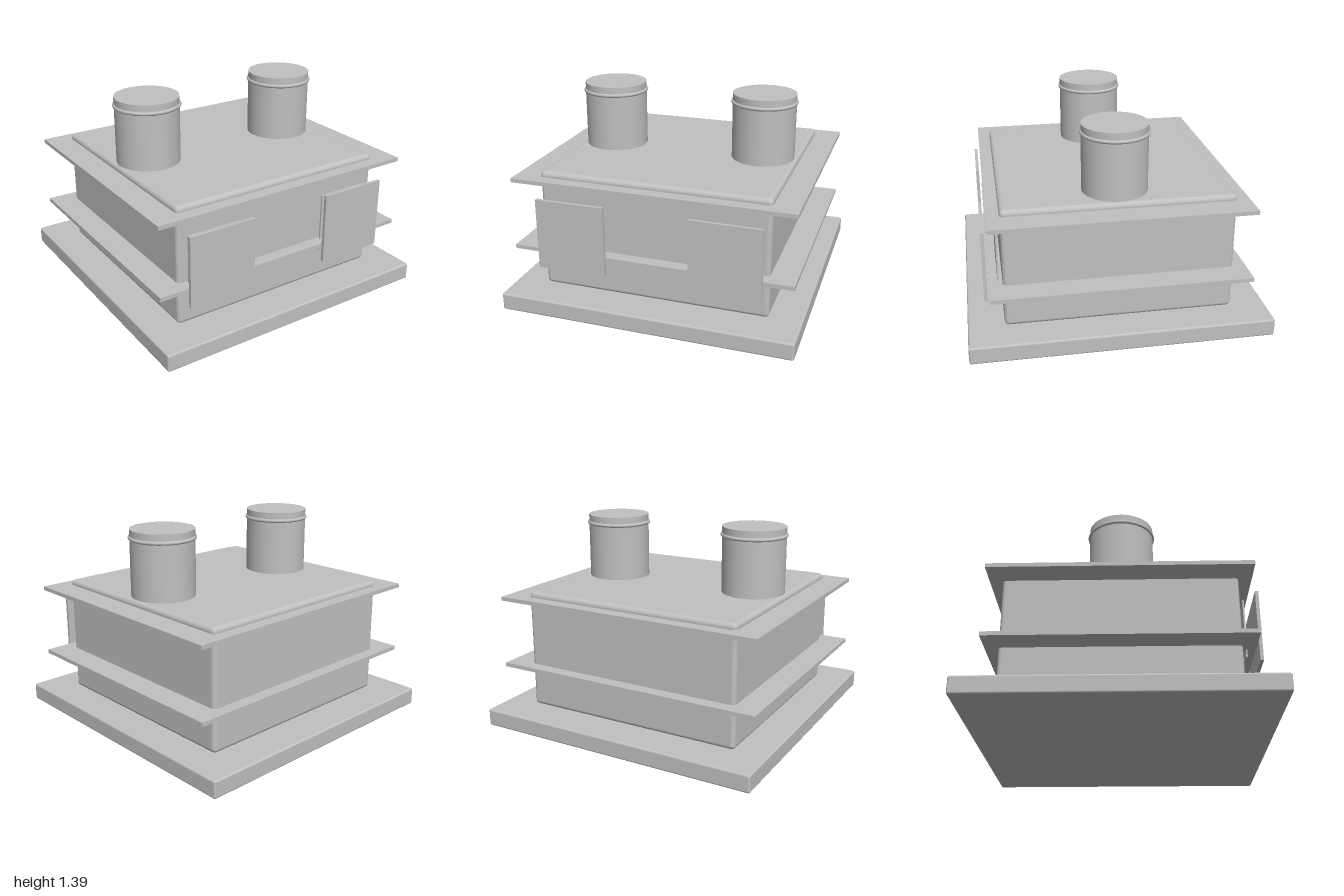
import * as THREE from 'three';
import { RoundedBoxGeometry } from 'three/addons/geometries/RoundedBoxGeometry.js';

export function createModel() {
  const model = new THREE.Group();
  model.name = 'ventedBox';
  const grey = new THREE.MeshStandardMaterial({ color: 0xc0c0c0 });
  grey.name = 'plain grey';

  function add(name, geometry, x, y, z, parent = model) {
    const mesh = new THREE.Mesh(geometry, grey);
    mesh.name = name;
    mesh.position.set(x, y, z);
    parent.add(mesh);
    return mesh;
  }

  // Plinth and main housing, both with softened edges
  add('base', new RoundedBoxGeometry(2, 0.12, 2, 3, 0.014), 0, 0.06, 0);
  add('body', new RoundedBoxGeometry(1.565, 0.82, 1.52, 4, 0.03), 0, 0.53, 0);

  // Thin flanges around the housing
  for (const [name, y] of [['lowerFlange', 0.41], ['upperFlange', 0.888]]) {
    add(name, new THREE.BoxGeometry(1.91, 0.027, 1.69), 0, y, 0);
  }

  for (const [side, pipeX, panelX] of [['right', -0.546, -0.526], ['left', 0.541, 0.521]]) {
    // Front panel with a thinner backing plate behind it
    add(side + 'FrontPanel', new THREE.BoxGeometry(0.476, 0.487, 0.022), panelX, 0.546, 0.871);
    add(side + 'BackingPlate', new THREE.BoxGeometry(0.39, 0.405, 0.01), panelX, 0.546, 0.786);

    // Capped pipe with a bead near its top
    const pipe = new THREE.Group();
    pipe.name = side + 'Pipe';
    pipe.position.set(pipeX, 0, 0);
    model.add(pipe);
    add('pipeTube', new THREE.CylinderGeometry(0.217, 0.217, 0.47, 40), 0, 1.157, 0, pipe);
    const bead = add('pipeBead', new THREE.TorusGeometry(0.215, 0.013, 10, 40), 0, 1.334, 0, pipe);
    bead.rotation.x = Math.PI / 2;
  }
  return model;
}
